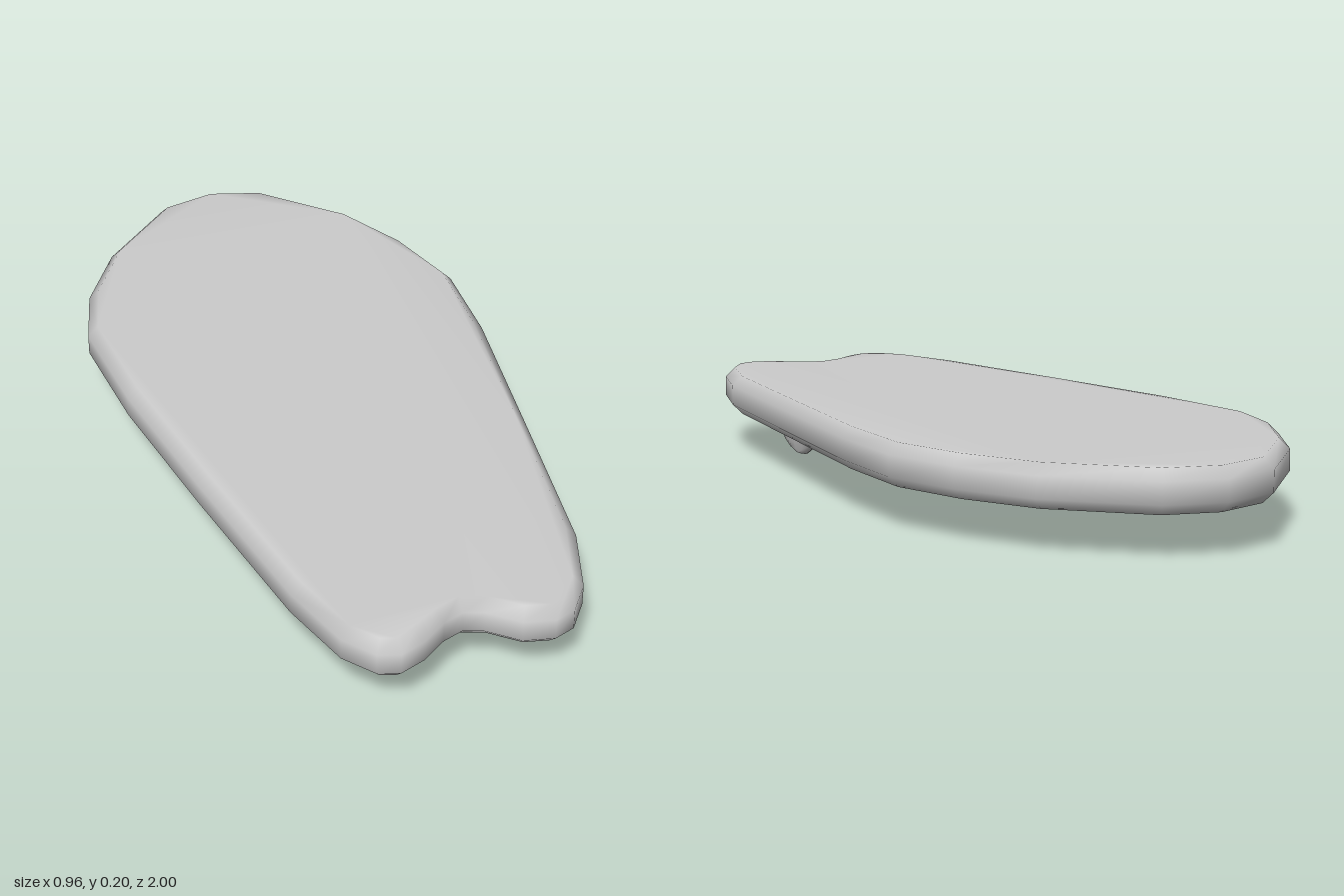
import * as THREE from 'three';

// Deck outline as [x, z], from the nose down the left edge, round the split tail and back
const OUTLINE = [
  [0, -1], [0.14, -0.96], [0.33, -0.77], [0.425, -0.585], [0.48, -0.39], [0.47, -0.14],
  [0.415, 0.28], [0.355, 0.73], [0.3, 0.9], [0.25, 0.97], [0.2, 0.99], [0.13, 0.975],
  [0.065, 0.92], [0.02, 0.905], [-0.03, 0.925], [-0.09, 0.97], [-0.15, 0.995], [-0.2, 0.98],
  [-0.255, 0.91], [-0.31, 0.73], [-0.39, 0.29], [-0.455, -0.11], [-0.48, -0.41],
  [-0.435, -0.585], [-0.33, -0.77], [-0.145, -0.96],
];

// Moves every outline point inwards by a fixed distance
function inset(points, distance) {
  const n = points.length;
  const normal = (a, b) => new THREE.Vector2(b[1] - a[1], a[0] - b[0]).normalize();
  return points.map((p, i) => {
    const n1 = normal(points[(i + n - 1) % n], p);
    const n2 = normal(p, points[(i + 1) % n]);
    const k = distance / (1 + n1.dot(n2));
    return [p[0] - (n1.x + n2.x) * k, p[1] - (n1.y + n2.y) * k];
  });
}

// Closed solid through rings { y, points } listed from bottom to top
function loft(rings) {
  const n = rings[0].points.length;
  const position = [];
  const index = [];
  for (const { y, points } of rings) for (const [x, z] of points) position.push(x, y, z);

  for (let r = 0; r < rings.length - 1; r++) {
    for (let i = 0; i < n; i++) {
      const a = r * n + i;
      const b = r * n + ((i + 1) % n);
      index.push(a, a + n, b, b, a + n, b + n);
    }
  }

  // Flat caps, turned to face down at the bottom and up at the top
  for (const [r, up] of [[0, false], [rings.length - 1, true]]) {
    const p = rings[r].points.map(([x, z]) => new THREE.Vector2(x, z));
    for (const [a, b, c] of THREE.ShapeUtils.triangulateShape(p, [])) {
      const facesUp = p[b].clone().sub(p[a]).cross(p[c].clone().sub(p[a])) < 0;
      const tri = facesUp === up ? [a, b, c] : [a, c, b];
      index.push(...tri.map((v) => v + r * n));
    }
  }

  const geometry = new THREE.BufferGeometry();
  geometry.setAttribute('position', new THREE.Float32BufferAttribute(position, 3));
  geometry.setIndex(index);
  geometry.computeVertexNormals();
  return geometry;
}

// Fin cross-sections: height, leading z, trailing z, half thickness
const FIN = [
  [0.003, 0.59, 0.645, 0.011],
  [0.012, 0.57, 0.68, 0.014],
  [0.03, 0.54, 0.712, 0.018],
  [0.06, 0.495, 0.737, 0.023],
  [0.105, 0.45, 0.747, 0.028],
];

function finGeometry() {
  const sides = 12;
  return loft(FIN.map(([y, lead, trail, half]) => ({
    y,
    points: Array.from({ length: sides }, (_, i) => {
      const t = (i / sides) * Math.PI * 2;
      return [Math.sin(t) * half, (lead + trail) / 2 - Math.cos(t) * (trail - lead) / 2];
    }),
  })));
}

export function createModel() {
  const model = new THREE.Group();
  model.name = 'bodyboard';
  const grey = new THREE.MeshStandardMaterial({ color: 0xcccccc });
  grey.name = 'light grey';

  // Board with bevelled upper and lower rims
  const rim = inset(OUTLINE, 0.025);
  const board = new THREE.Mesh(loft([
    { y: 0.1, points: rim },
    { y: 0.125, points: OUTLINE },
    { y: 0.175, points: OUTLINE },
    { y: 0.2, points: rim },
  ]), grey);
  board.name = 'board';
  model.add(board);

  // Pair of rounded fins under the tail
  const geometry = finGeometry();
  for (const [name, x] of [['leftFin', 0.211], ['rightFin', -0.183]]) {
    const fin = new THREE.Mesh(geometry, grey);
    fin.name = name;
    fin.position.x = x;
    model.add(fin);
  }
  return model;
}
